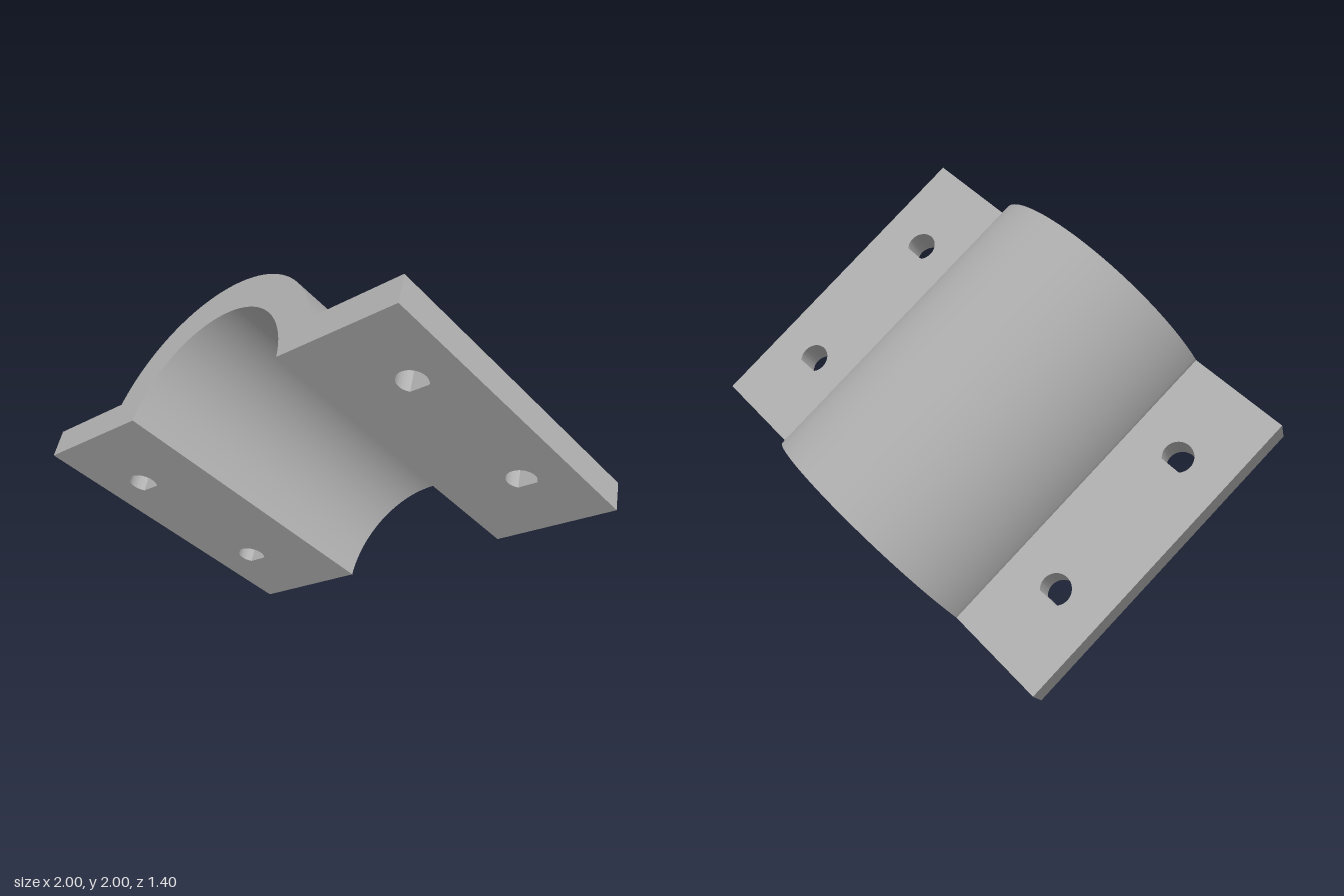
import * as THREE from 'three';
import { toCreasedNormals } from 'three/addons/utils/BufferGeometryUtils.js';

const LENGTH = 1.347;      // along the bore
const HALF_WIDTH = 0.958;  // across both flanges
const THICK = 0.125;       // flange thickness
const BORE_R = 0.408, OUTER_R = 0.56;
const CENTRE_Y = -0.0925;  // bore axis, slightly below the flange underside

const steel = new THREE.MeshStandardMaterial({ color: 0xb0b0b0 });
steel.name = 'grey metal';

// Half-chord of a circle about the bore axis at height y
const chord = (r, y) => Math.sqrt(r * r - (y - CENTRE_Y) ** 2);
const FOOT = chord(OUTER_R, THICK / 2);

function makeMesh(name, geometry) {
  const mesh = new THREE.Mesh(toCreasedNormals(geometry, 0.6), steel);
  mesh.name = name;
  return mesh;
}

// Arched saddle, extruded along the bore
function makeSaddle() {
  const h = THICK / 2;
  const lip = chord(BORE_R, -h);
  const a = Math.atan2(h - CENTRE_Y, FOOT);
  const b = Math.atan2(-h - CENTRE_Y, lip);
  const shape = new THREE.Shape();
  shape.moveTo(lip, -h);
  shape.lineTo(FOOT, -h);
  shape.absarc(0, CENTRE_Y, OUTER_R, a, Math.PI - a, false);
  shape.lineTo(-FOOT, -h);
  shape.absarc(0, CENTRE_Y, BORE_R, Math.PI - b, b, true);
  const geometry = new THREE.ExtrudeGeometry(shape, { depth: LENGTH, bevelEnabled: false, curveSegments: 48 });
  geometry.translate(0, 0, -LENGTH / 2);
  return makeMesh('archedSaddle', geometry);
}

// Teardrop bolt hole with a right-angled tip
function teardrop(x, y, r) {
  const path = new THREE.Path();
  path.moveTo(x, y + r * Math.SQRT2);
  path.absarc(x, y, r, Math.PI * 0.75, Math.PI * 2.25, false);
  path.closePath();
  return path;
}

// Flat flange with two bolt holes
function makeFlange(side) {
  const x0 = side * FOOT, x1 = side * HALF_WIDTH, l = LENGTH / 2;
  const shape = new THREE.Shape();
  shape.moveTo(x0, -l);
  shape.lineTo(x1, -l);
  shape.lineTo(x1, l);
  shape.lineTo(x0, l);
  shape.closePath();
  for (const y of [-LENGTH / 4, LENGTH / 4]) shape.holes.push(teardrop(side * 0.748, y, 0.061));
  const geometry = new THREE.ExtrudeGeometry(shape, { depth: THICK, bevelEnabled: false, curveSegments: 24 });
  geometry.translate(0, 0, -THICK / 2);
  geometry.rotateX(-Math.PI / 2);
  return makeMesh(side > 0 ? 'upperFlange' : 'lowerFlange', geometry);
}

export function createModel() {
  const clamp = new THREE.Group();
  clamp.name = 'clampHalf';
  clamp.add(makeSaddle(), makeFlange(1), makeFlange(-1));

  // Tilt: flanges run up towards the front left, the arch faces up and back
  const tilt = Math.asin(0.683);
  const c = Math.cos(tilt), s = Math.sin(tilt), q = Math.SQRT1_2;
  const across = new THREE.Vector3(c * q, c * q, s);
  const outward = new THREE.Vector3(s * q, s * q, -c);
  const along = new THREE.Vector3().crossVectors(across, outward);
  clamp.quaternion.setFromRotationMatrix(new THREE.Matrix4().makeBasis(across, outward, along));
  clamp.position.y = 1;

  const model = new THREE.Group();
  model.name = 'pipeClamp';
  model.add(clamp);
  return model;
}
